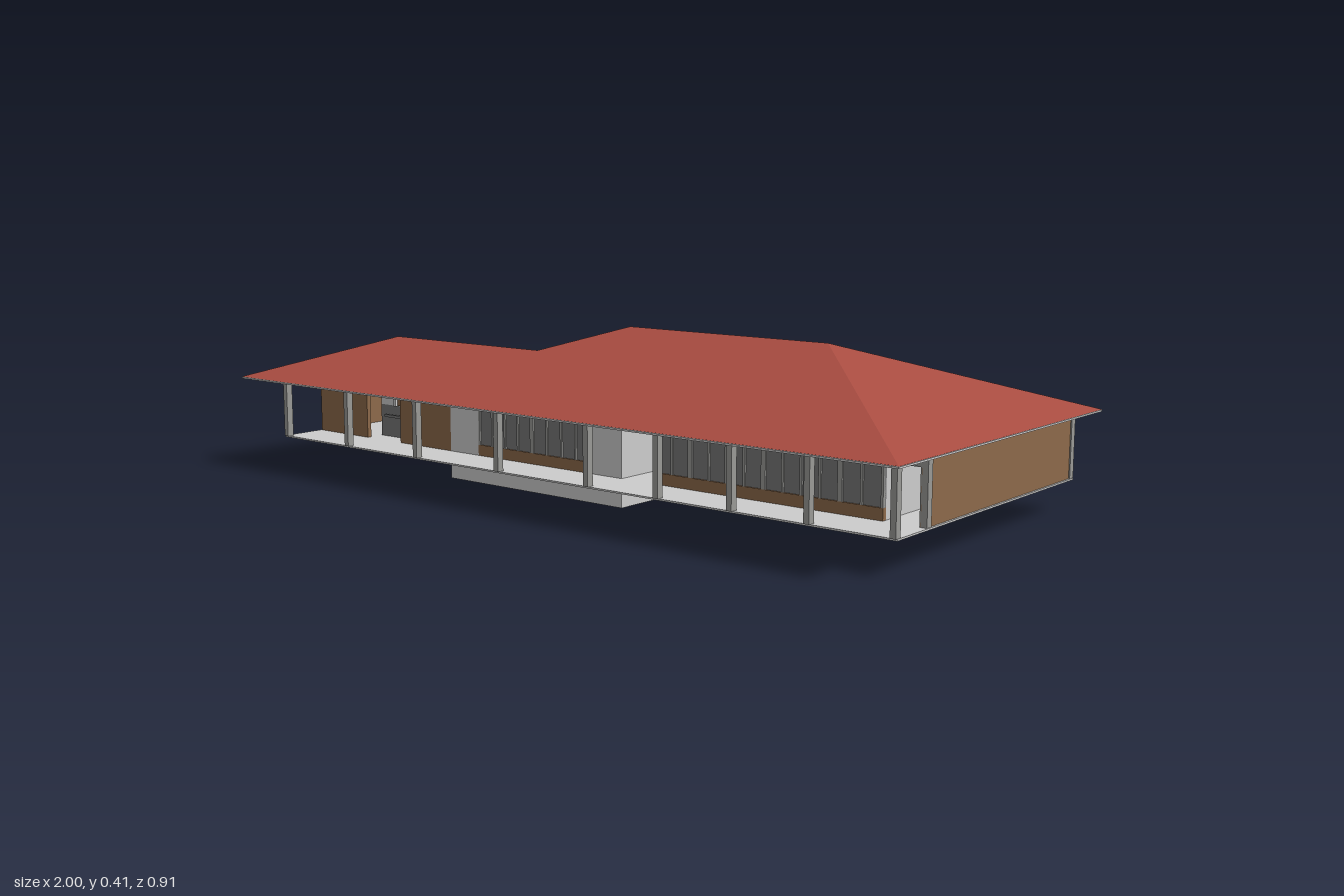
import * as THREE from 'three';

const mat = (name, color) => Object.assign(new THREE.MeshStandardMaterial({ color }), { name });

export function createModel() {
  const model = new THREE.Group();
  model.name = 'house';
  const red = mat('roof red', 0xa84c41);
  const brown = mat('wall brown', 0x8c694a);
  const pale = mat('pale concrete', 0xcccccc);
  const grey = mat('post grey', 0x999996);
  const glass = mat('window grey', 0x777777);
  red.side = THREE.DoubleSide;

  // Box given by its limits on each axis
  const box = (name, m, x0, x1, y0, y1, z0, z1) => {
    const mesh = new THREE.Mesh(new THREE.BoxGeometry(x1 - x0, y1 - y0, z1 - z0), m);
    mesh.position.set((x0 + x1) / 2, (y0 + y1) / 2, (z0 + z1) / 2);
    mesh.name = name;
    model.add(mesh);
    return mesh;
  };

  const EAVE = 0.245, TOP = 0.24, FLOOR = 0.08, LOW = 0.01;
  const FRONT = 0.24, BACK = -0.435, WINGBACK = -0.113, PORCH = 0.36, T = 0.012;

  // Hipped roof with a lower wing, each face a planar loop of corners
  const P = {
    A: [-0.49, EAVE, -0.455], B: [1, EAVE, -0.455], C: [1, EAVE, 0.455],
    D: [-1, EAVE, 0.455], E: [-1, EAVE, -0.13], F: [-0.49, EAVE, -0.13],
    R1: [-0.035, 0.405, 0], R2: [0.545, 0.405, 0],
    W1: [-0.7075, 0.348, 0.1625], W2: [-0.1975, 0.348, 0.1625],
  };
  const tris = [
    'D C W2', 'D W2 W1', 'C R2 R1', 'C R1 W2', // front
    'C B R2',                                  // right end
    'B A R1', 'B R1 R2',                       // back
    'A F W2', 'A W2 R1',                       // left end
    'F E W1', 'F W1 W2',                       // wing back
    'E D W1',                                  // wing end
  ];
  const roofGeo = new THREE.BufferGeometry();
  roofGeo.setAttribute('position', new THREE.Float32BufferAttribute(
    tris.flatMap(t => t.split(' ').flatMap(k => P[k])), 3));
  roofGeo.computeVertexNormals();
  const roof = new THREE.Mesh(roofGeo, red);
  roof.name = 'roof';
  model.add(roof);

  // Soffit under the eaves
  box('soffit', pale, -0.49, 1, TOP, EAVE - 0.001, -0.455, 0.455);
  box('wingSoffit', pale, -1, -0.49, TOP, EAVE - 0.001, -0.13, 0.455);

  // Split-level floors
  const slab = 0.004;
  box('rightFloor', pale, 0.14, 0.945, FLOOR - slab, FLOOR, BACK, PORCH);
  box('leftFloor', pale, -0.945, -0.43, FLOOR - slab, FLOOR, WINGBACK, PORCH);
  box('porchFloor', pale, -0.43, 0.14, FLOOR - slab, FLOOR, FRONT, PORCH);
  box('lowerFloor', pale, -0.43, 0.14, LOW, LOW + slab, BACK, FRONT);
  for (const z of [-0.415, -0.33])
    box('footing', pale, -0.3, -0.05, 0, LOW, z, z + 0.084);

  // Sunken room: retaining walls and sides
  box('frontRetainingWall', pale, -0.43, 0.14, LOW, FLOOR, FRONT - T, FRONT);
  box('rightRetainingWall', pale, 0.14 - T, 0.14, LOW, TOP, BACK + T, FRONT);
  box('leftRetainingWall', pale, -0.43, -0.43 + T, LOW, TOP, WINGBACK, FRONT);
  box('sunkenSideWall', brown, -0.43, -0.43 + T, LOW, TOP, BACK, WINGBACK);

  // Row of small vent panes on a wall face
  const vents = (x0, x1, z, dir, m = glass) => {
    const n = Math.max(1, Math.round((x1 - x0) / 0.025)), w = (x1 - x0) / n;
    for (let i = 0; i < n; i++)
      box('ventPane', m, x0 + i * w + 0.003, x0 + (i + 1) * w - 0.003, 0.206, 0.229,
        dir > 0 ? z : z - 0.003, dir > 0 ? z + 0.003 : z);
  };

  // Back walls
  box('sunkenBackWall', brown, -0.43, 0.14, LOW, TOP, BACK, BACK + T);
  box('rightBackWall', brown, 0.235, 0.84, FLOOR, TOP, BACK, BACK + T);
  box('wingBackWall', brown, -0.94, -0.43, FLOOR, TOP, WINGBACK, WINGBACK + T);
  for (const [a, b] of [[-0.4, -0.17], [-0.12, 0.11], [0.27, 0.51], [0.57, 0.72]])
    vents(a, b, BACK, -1);
  for (const [a, b] of [[-0.9, -0.72], [-0.66, -0.48]]) vents(a, b, WINGBACK, -1);

  // End walls and passage walls
  box('rightEndWall', brown, 0.94 - T, 0.94, FLOOR, TOP, BACK, FRONT);
  box('rightEndLining', grey, 0.925, 0.929, FLOOR, TOP, BACK, FRONT);
  box('leftEndWall', brown, -0.94, -0.94 + T, FLOOR, TOP, WINGBACK, FRONT);
  box('passageWall', pale, 0.235, 0.235 + T, FLOOR, TOP, BACK + T, FRONT - T);
  box('endPassageWall', pale, 0.84 - T, 0.84, FLOOR, TOP, BACK + T, FRONT - T);

  // Lintels over the open passages
  for (const z of [BACK, FRONT - T]) {
    box('passageLintel', pale, 0.14, 0.235, 0.203, TOP, z, z + T);
    box('endPassageLintel', grey, 0.84, 0.928, 0.203, TOP, z, z + T);
  }
  vents(0.85, 0.92, FRONT, 1, pale);

  // Left front wall with a doorway
  box('leftFrontWall', brown, -0.94, -0.75, FLOOR, TOP, FRONT - T, FRONT);
  box('leftFrontWall', brown, -0.62, -0.43, FLOOR, TOP, FRONT - T, FRONT);
  box('doorLintel', brown, -0.75, -0.62, 0.23, TOP, FRONT - T, FRONT);
  box('doorPanel', glass, -0.75, -0.62, FLOOR, 0.165, 0.18, 0.19);
  box('doorTransom', pale, -0.75, -0.62, 0.165, 0.23, 0.18, 0.19);
  box('doorRail', brown, -0.68, -0.62, 0.167, 0.2, 0.19, 0.195);
  box('doorPost', pale, -0.69, -0.682, 0.165, 0.23, 0.19, 0.2);
  box('handRail', glass, -0.72, -0.65, 0.135, 0.142, 0.2, 0.207);
  vents(-0.91, -0.79, FRONT, 1);
  vents(-0.58, -0.46, FRONT, 1);

  // Pale front piers of the sunken room
  box('frontPier', pale, -0.43, -0.33, FLOOR, TOP, FRONT - T, FRONT);
  box('frontPier', pale, 0.045, 0.14, FLOOR, TOP, FRONT - T, FRONT);
  vents(-0.42, -0.34, FRONT, 1);
  vents(0.05, 0.13, FRONT, 1);

  // Glazed front bays: sill, glass, mullions and transom
  const bay = (x0, x1) => {
    box('sill', brown, x0, x1, FLOOR, 0.107, FRONT - T, FRONT);
    box('glass', glass, x0, x1, 0.107, 0.2, FRONT - T, FRONT - 0.004);
    box('transom', grey, x0, x1, 0.2, TOP, FRONT - T, FRONT);
    vents(x0 + 0.008, x1 - 0.008, FRONT, 1);
    const n = Math.max(2, Math.round((x1 - x0) / 0.05));
    for (let i = 0; i <= n; i++) {
      const x = x0 + 0.003 + (x1 - x0 - 0.006) * i / n;
      box('mullion', grey, x - 0.003, x + 0.003, 0.107, 0.2, FRONT - 0.008, FRONT);
    }
  };
  for (const [a, b] of [[-0.33, -0.147], [-0.147, 0.045], [0.235, 0.34],
    [0.34, 0.54], [0.54, 0.735], [0.735, 0.84]]) bay(a, b);

  // Porch posts with beams back to the wall
  for (const x of [-0.937, -0.69, -0.43, -0.147, 0.137, 0.34, 0.54, 0.735, 0.937]) {
    box('porchPost', grey, x - 0.007, x + 0.007, FLOOR, TOP, 0.346, 0.364);
    box('porchBeam', grey, x - 0.007, x + 0.007, 0.225, TOP, FRONT, 0.346);
  }

  // Pilasters along the back and at the corners
  const pilaster = (x, y, z) =>
    box('pilaster', grey, x - 0.007, x + 0.007, y, TOP, z - 0.005, z + 0.013);
  for (const x of [-0.428, -0.147, 0.135]) pilaster(x, LOW, BACK);
  for (const x of [0.54, 0.936]) pilaster(x, FLOOR, BACK);
  pilaster(-0.936, FLOOR, WINGBACK);
  pilaster(0.936, FLOOR, FRONT - 0.012);

  return model;
}
